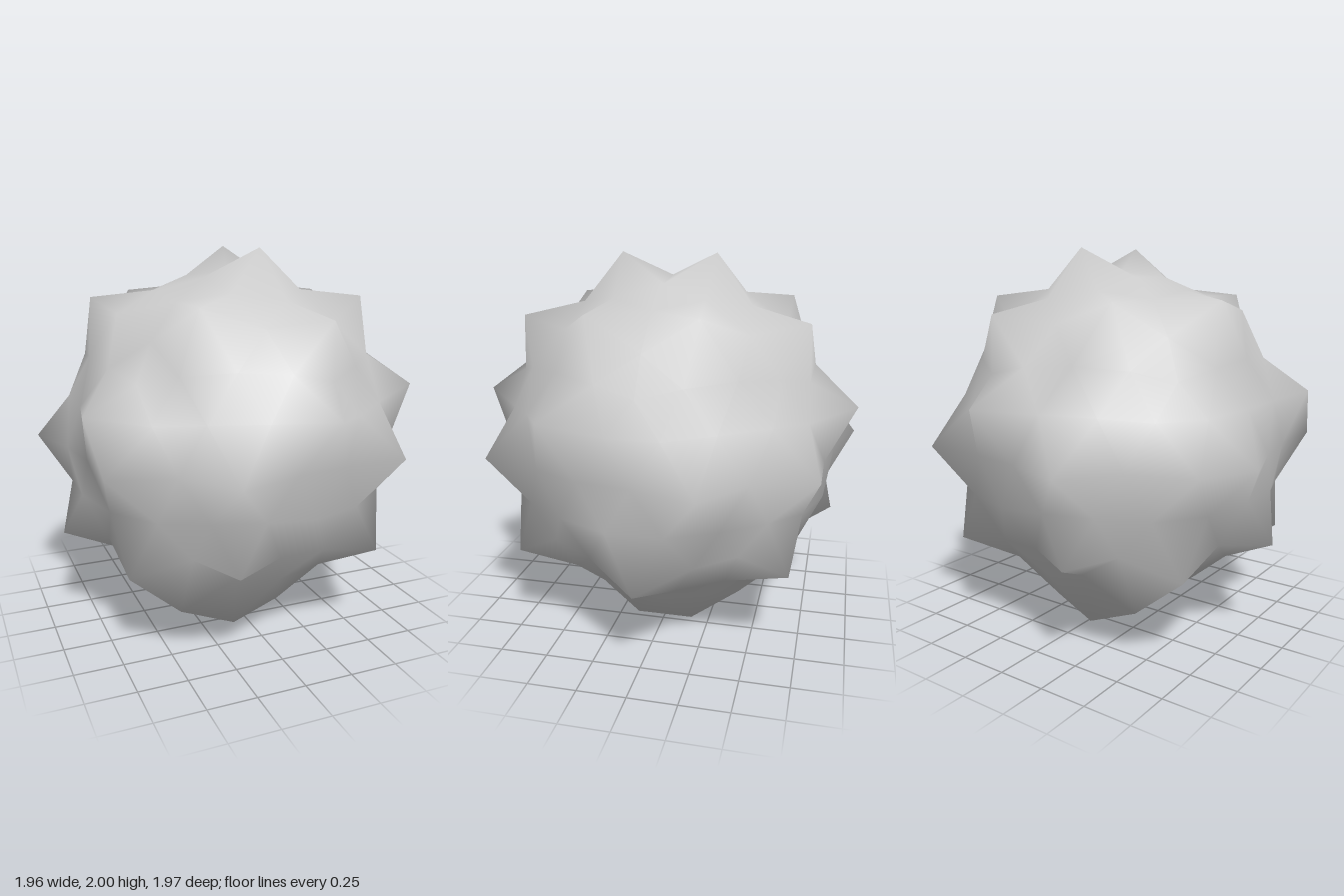
import * as THREE from 'three';
import { mergeVertices } from 'three/addons/utils/BufferGeometryUtils.js';

const BASE = 0.88, TIP = 1.033, LOW_TIP = 0.95;

// unit direction from height and angle around the y axis (0 = +x, 90 = +z)
function direction(y, deg) {
  const a = THREE.MathUtils.degToRad(deg), h = Math.sqrt(1 - y * y);
  return new THREE.Vector3(h * Math.cos(a), y, h * Math.sin(a));
}

// geodesic ball: an icosahedron standing on a corner, each edge split in four
function geodesicBall() {
  const pts = [new THREE.Vector3(0, 1, 0)], faces = [];
  for (let i = 0; i < 5; i++) pts.push(direction(0.4472, 72 * i));
  for (let i = 0; i < 5; i++) pts.push(direction(-0.4472, 72 * i + 36));
  pts.push(new THREE.Vector3(0, -1, 0));
  for (let i = 0; i < 5; i++) {
    const j = (i + 1) % 5, t = 1 + i, t2 = 1 + j, b = 6 + i, b2 = 6 + j;
    faces.push(0, t2, t, t, t2, b, b, t2, b2, 11, b, b2);
  }
  const geo = new THREE.PolyhedronGeometry(pts.flatMap((p) => p.toArray()), faces, 1, 3);
  geo.deleteAttribute('uv');
  geo.deleteAttribute('normal');
  return mergeVertices(geo, 1e-3);
}

// raised points, row by row from the top: height, then angles
const TIP_ROWS = [
  [0.968, [72, -72]],
  [0.7236, [22.39, -22.39, 121.61, -121.61, -166.39]],
  [0.6575, [72, -72]],
  [0.2764, [26.27]],
  [0.2512, [80.77, -80.77, 152.77]],
  [0, [54, -54, 108, -108, 144, -144, -18, -162]],
  [-0.4472, [180, 108, -108]],
  [-0.5023, [52.04, -52.04]],
  [-0.5257, [0, 144, -144]],
  [-0.7236, [130.39, -130.39]],
  [-0.8507, [108, -108]],
  [-0.968, [36, -36]],
];
const LOW_TIP_ROWS = [
  [0.7236, [166.39]],
  [-0.8944, [72, -72]],
];

const expand = (rows, radius) =>
  rows.flatMap(([y, angles]) => angles.map((a) => ({ dir: direction(y, a), radius })));

export function createModel() {
  const group = new THREE.Group();
  const geo = geodesicBall();
  const pos = geo.attributes.position;
  const tips = [...expand(TIP_ROWS, TIP), ...expand(LOW_TIP_ROWS, LOW_TIP)];

  // pull the chosen points outward into blunt spikes
  const v = new THREE.Vector3();
  for (let i = 0; i < pos.count; i++) {
    v.fromBufferAttribute(pos, i).normalize();
    const tip = tips.find((t) => t.dir.distanceTo(v) < 0.06);
    v.multiplyScalar(tip ? tip.radius : BASE);
    pos.setXYZ(i, v.x, v.y, v.z);
  }
  geo.computeVertexNormals();

  const ball = new THREE.Mesh(geo, new THREE.MeshStandardMaterial({ color: 0xcccccc }));
  ball.name = 'spikyBall';
  ball.position.y = 1;
  group.add(ball);
  return group;
}
